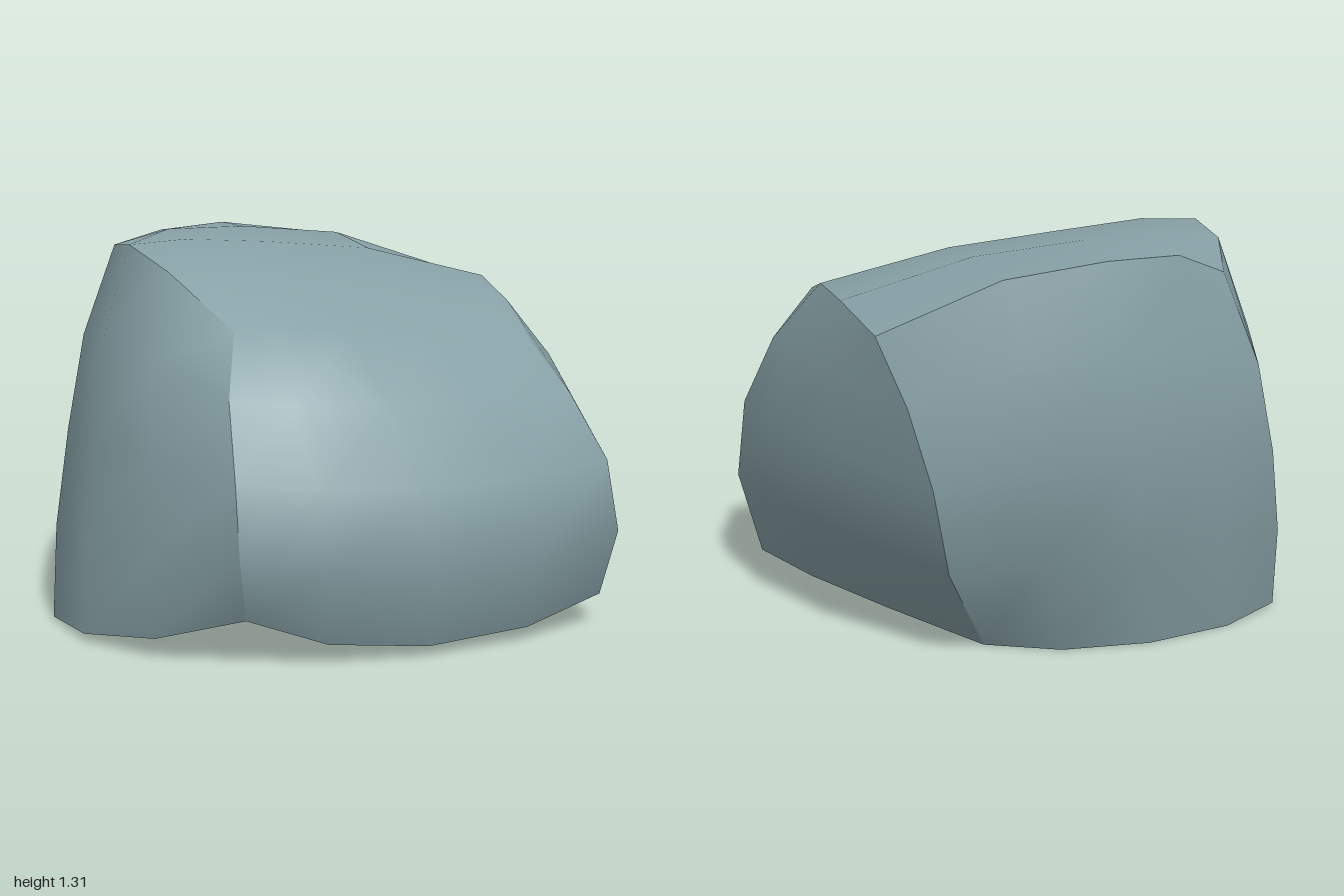
import * as THREE from 'three';
import { mergeGeometries, mergeVertices } from 'three/addons/utils/BufferGeometryUtils.js';

// Edge polylines of a boulder shell: four rising corners, a bottom rim and a top rim
const rise = {
  front: [[-0.24, 0.15, 0.88], [-0.25, 0.37, 1], [-0.265, 0.6, 0.96], [-0.29, 0.85, 0.87], [-0.29, 1.04, 0.63]],
  left: [[0.93, 0.1, 0.24], [0.98, 0.34, 0.34], [0.94, 0.58, 0.33], [0.82, 0.79, 0.22], [0.7, 0.94, 0.08]],
  back: [[-0.04, 0, -0.7], [0.04, 0.31, -0.94], [0.08, 0.6, -1], [0.16, 0.86, -0.99], [0.27, 1.07, -0.92]],
  right: [[-0.98, 0.01, -0.19], [-0.99, 0.3, -0.28], [-0.965, 0.6, -0.38], [-0.91, 0.9, -0.42], [-0.79, 1.2, -0.4]],
};

// Join two corners through three points between them
const rim = (a, b, level, mid) => [rise[a][level], ...mid, rise[b][level]];
const low = {
  frontLeft: rim('front', 'left', 0, [[0.02, 0.065, 0.84], [0.34, 0.035, 0.73], [0.67, 0.045, 0.5]]),
  leftBack: rim('left', 'back', 0, [[0.84, 0.09, -0.04], [0.61, 0.08, -0.29], [0.3, 0.055, -0.53]]),
  backRight: rim('back', 'right', 0, [[-0.3, 0, -0.72], [-0.58, 0, -0.62], [-0.83, 0, -0.42]]),
  rightFront: rim('right', 'front', 0, [[-0.95, 0.005, 0.24], [-0.8, 0.025, 0.56], [-0.54, 0.065, 0.78]]),
};
const high = {
  frontLeft: rim('front', 'left', 4, [[-0.16, 1.05, 0.64], [0.08, 1.03, 0.53], [0.37, 1, 0.34]]),
  leftBack: rim('left', 'back', 4, [[0.62, 1.07, -0.14], [0.54, 1.135, -0.4], [0.42, 1.135, -0.69]]),
  backRight: rim('back', 'right', 4, [[-0.13, 1.26, -0.95], [-0.44, 1.3, -0.81], [-0.65, 1.285, -0.59]]),
  rightFront: rim('right', 'front', 4, [[-0.765, 1.265, -0.11], [-0.68, 1.285, 0.16], [-0.52, 1.215, 0.43]]),
};

// Fill four edges with a curved grid (Coons patch), its middle shifted by bulge
function patch(bottom, top, left, right, bulge) {
  const n = 4, points = [], index = [];
  for (let j = 0; j <= n; j++) {
    for (let i = 0; i <= n; i++) {
      const u = i / n, v = j / n, swell = 16 * u * (1 - u) * v * (1 - v);
      for (let k = 0; k < 3; k++) {
        points.push((1 - v) * bottom[i][k] + v * top[i][k] + (1 - u) * left[j][k] + u * right[j][k]
          - (1 - u) * (1 - v) * bottom[0][k] - u * (1 - v) * bottom[n][k]
          - (1 - u) * v * top[0][k] - u * v * top[n][k] + swell * bulge[k]);
      }
      if (i < n && j < n) {
        const a = j * (n + 1) + i, d = a + n + 1;
        index.push(a, a + 1, d + 1, a, d + 1, d);
      }
    }
  }
  const geometry = new THREE.BufferGeometry();
  geometry.setAttribute('position', new THREE.Float32BufferAttribute(points, 3));
  geometry.setIndex(index);
  return geometry;
}

export function createModel() {
  const stone = new THREE.MeshStandardMaterial({ color: 0x87a1a6, side: THREE.DoubleSide });
  stone.name = 'greyBlueStone';

  const group = new THREE.Group();
  group.name = 'boulder';

  // Each part is smooth inside and creased where it meets the next
  const add = (name, geometry) => {
    geometry.computeVertexNormals();
    const mesh = new THREE.Mesh(geometry, stone);
    mesh.name = name;
    group.add(mesh);
  };

  // Front flows into the crown without a crease
  const front = patch(low.frontLeft, high.frontLeft, rise.front, rise.left, [0.04, 0, 0.01]);
  const crown = patch(high.frontLeft, [...high.backRight].reverse(),
    [...high.rightFront].reverse(), high.leftBack, [0, -0.035, 0]);
  add('frontAndCrown', mergeVertices(mergeGeometries([front, crown]), 1e-3));

  // Remaining sides; the underside stays open
  add('leftSide', patch(low.leftBack, high.leftBack, rise.left, rise.back, [0.095, 0, -0.065]));
  add('backSide', patch(low.backRight, high.backRight, rise.back, rise.right, [0.04, 0, 0.015]));
  add('rightSide', patch(low.rightFront, high.rightFront, rise.right, rise.front, [0, 0, -0.01]));
  return group;
}
